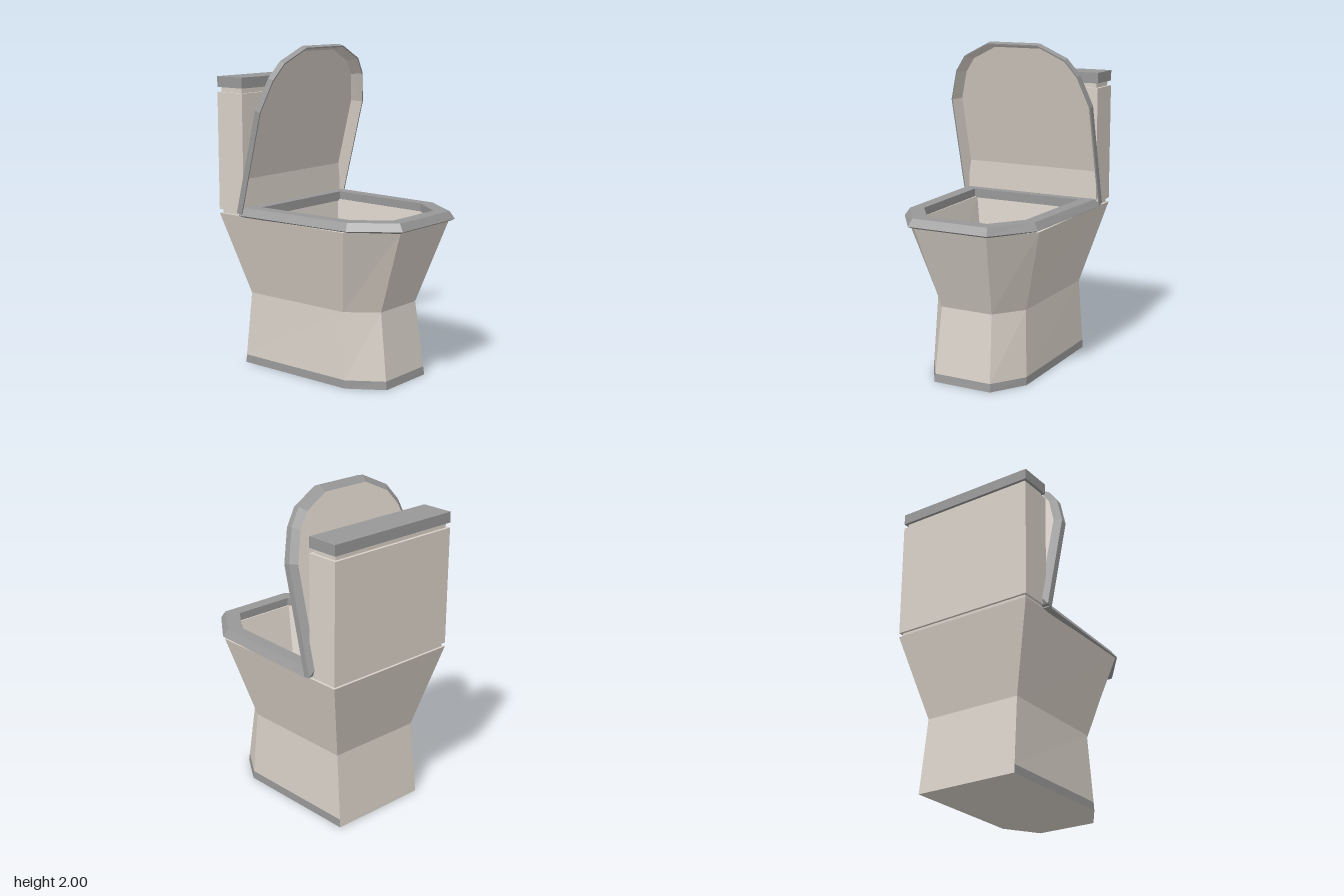
import * as THREE from 'three';

const ceramic = new THREE.MeshStandardMaterial({ color: 0xd8d0c7 });
ceramic.name = 'warm ceramic';
const grey = new THREE.MeshStandardMaterial({ color: 0x989898 });
grey.name = 'grey plastic';

// Six-sided outline, anticlockwise from above: front, side and back corner, then mirrored
function outline(y, wf, zf, ws, zs, wb, zb) {
  const half = [[wf, y, zf], [ws, y, zs], [wb, y, zb]];
  return [...half, ...half.map(([x, h, z]) => [-x, h, z]).reverse()];
}

// Faceted skin over rings; paint(band, side) is 0 ceramic or 1 grey. Caps are ceramic.
function loft(name, rings, paint, capped = true) {
  const tris = [[], []];
  const n = rings[0].length;
  for (let r = 0; r < rings.length - 1; r++) {
    for (let i = 0; i < n; i++) {
      const j = (i + 1) % n;
      const a = rings[r], b = rings[r + 1];
      tris[paint(r, i)].push(a[i], a[j], b[j], a[i], b[j], b[i]);
    }
  }
  if (capped) {
    const first = rings[0], last = rings[rings.length - 1];
    for (let i = 1; i < n - 1; i++) {
      tris[0].push(first[0], first[i + 1], first[i], last[0], last[i], last[i + 1]);
    }
  }
  const geo = new THREE.BufferGeometry();
  geo.setAttribute('position', new THREE.Float32BufferAttribute([...tris[0], ...tris[1]].flat(), 3));
  geo.addGroup(0, tris[0].length, 0);
  geo.addGroup(tris[0].length, tris[1].length, 1);
  geo.computeVertexNormals();
  const mesh = new THREE.Mesh(geo, [ceramic, grey]);
  mesh.name = name;
  return mesh;
}

function box(name, material, halfWidth, y0, y1, z0, z1) {
  const mesh = new THREE.Mesh(new THREE.BoxGeometry(halfWidth * 2, y1 - y0, z1 - z0), material);
  mesh.position.set(0, (y0 + y1) / 2, (z0 + z1) / 2);
  mesh.name = name;
  return mesh;
}

export function createModel() {
  const model = new THREE.Group();
  model.name = 'toilet';

  // Pedestal and hollow bowl in one skin, with a grey skirting except at the back
  model.add(loft('bowl', [
    outline(0, 0.19, 0.47, 0.325, 0.26, 0.325, -0.55),
    outline(0.05, 0.188, 0.463, 0.323, 0.257, 0.323, -0.545),
    outline(0.46, 0.17, 0.41, 0.305, 0.23, 0.31, -0.505),
    outline(0.975, 0.24, 0.6, 0.45, 0.35, 0.455, -0.63),
    outline(0.98, 0.2, 0.505, 0.34, 0.315, 0.36, -0.36),
    outline(0.5, 0.155, 0.395, 0.26, 0.25, 0.285, -0.3),
  ], (band, side) => (band === 0 && side !== 2 ? 1 : 0)));

  // Seat ring with bevelled outer edge
  const seatRim = (y, d) =>
    outline(y, 0.26 - d * 0.4, 0.63 - d, 0.45 - d, 0.37 - d * 0.5, 0.485 - d, -0.44 + d);
  const seatHole = (y) => outline(y, 0.2, 0.515, 0.345, 0.315, 0.37, -0.35);
  model.add(loft('seat', [
    seatHole(0.972), seatRim(0.972, 0.025), seatRim(0.985, 0),
    seatRim(1.03, 0.03), seatHole(1.03), seatHole(0.972),
  ], () => 1, false));

  // Raised lid: shallow dish with a grey bevelled edge
  const half = [[0.485, 0], [0.485, 0.65], [0.42, 0.845], [0.345, 0.945], [0.17, 1.032]];
  const edge = [...half, ...half.map(([x, y]) => [-x, y]).reverse()];
  const lidRing = (z, inset) => edge.map(([x, y]) => [
    x * (1 - inset / 0.485), 0.516 + (y - 0.516) * (1 - inset / 0.516), z,
  ]);
  const lid = loft('lid', [
    lidRing(-0.07, 0.04), lidRing(-0.04, 0), lidRing(0, 0),
    lidRing(0, 0.008), lidRing(-0.063, 0.042),
  ], (band) => (band < 3 ? 1 : 0));
  lid.position.set(0, 0.99, -0.415);
  lid.rotation.x = 0.253;
  model.add(lid);

  // Cistern with recessed joints below and above, and its cover
  model.add(
    box('cisternBase', ceramic, 0.44, 0.96, 1.01, -0.615, -0.435),
    box('cistern', ceramic, 0.455, 1.0, 1.72, -0.63, -0.425),
    box('cisternNeck', ceramic, 0.437, 1.71, 1.76, -0.612, -0.443),
    box('cisternCover', grey, 0.455, 1.75, 1.815, -0.63, -0.425),
  );
  return model;
}
